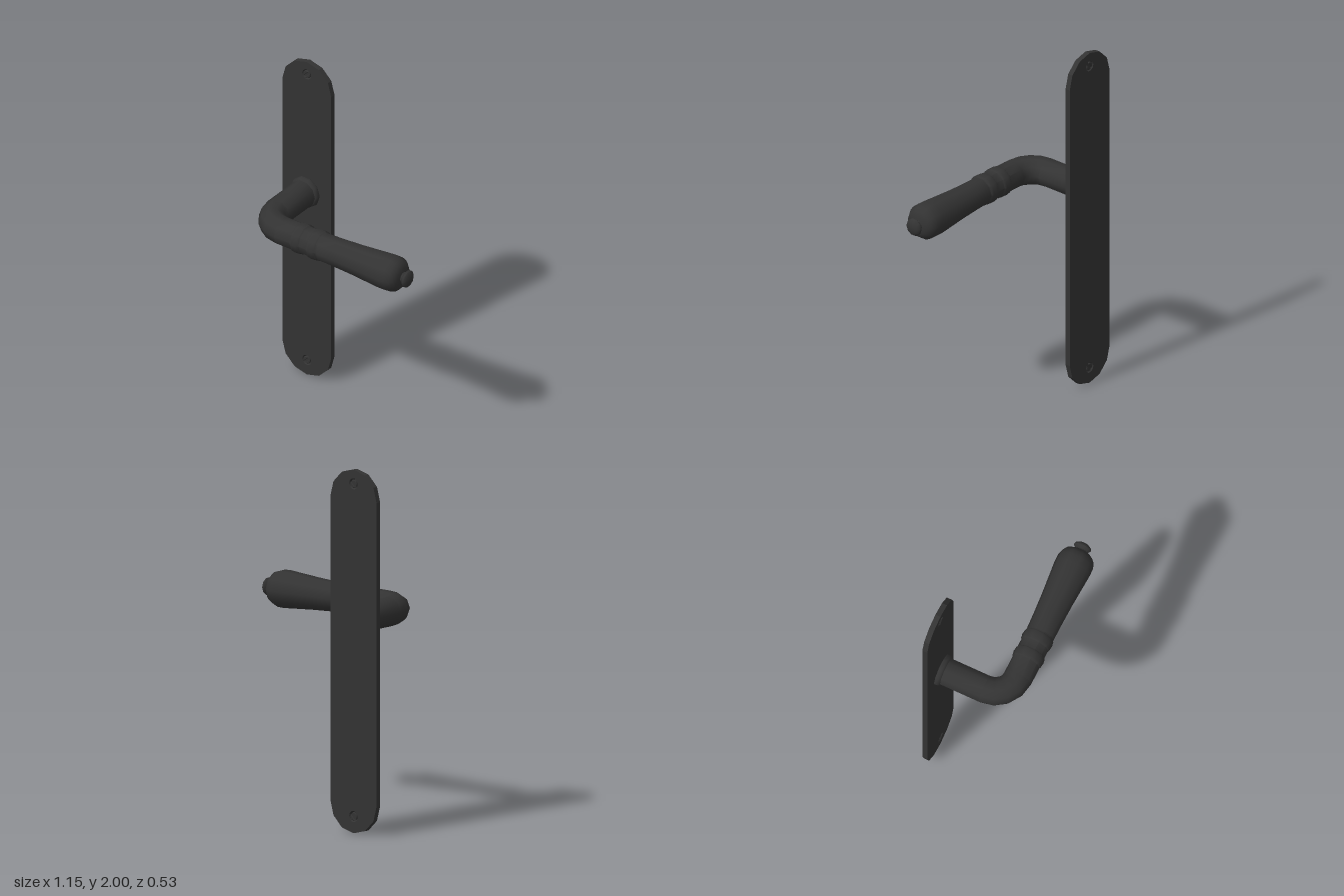
import * as THREE from 'three';
import { toCreasedNormals } from 'three/addons/utils/BufferGeometryUtils.js';

const SIDES = 10;
const PLATE_X = -0.411, LEVER_Y = 1.176, LEVER_Z = 0.1645;
const PLATE_BACK = -0.265, PLATE_FRONT = -0.235, PLATE_MID = -0.25;

export function createModel() {
  const group = new THREE.Group();
  const metal = new THREE.MeshStandardMaterial({ color: 0x333333 });

  const add = (name, geometry, parent = group) => {
    const mesh = new THREE.Mesh(geometry, metal);
    mesh.name = name;
    parent.add(mesh);
    return mesh;
  };
  // Turned part: profile is [radius, distance along the axis]
  const turned = (profile, phi = 0) => toCreasedNormals(
    new THREE.LatheGeometry(profile.map(([r, d]) => new THREE.Vector2(r, d)), SIDES, phi), 0.75);

  // Backplate with half-round, six-sided ends and two screw holes
  const R = 0.164, endY = 1 - R;
  const outline = [];
  for (const [cy, start] of [[endY, 0], [-endY, Math.PI]]) {
    for (let i = 0; i <= 6; i++) {
      const a = start + i * Math.PI / 6;
      outline.push(new THREE.Vector2(R * Math.cos(a), cy + R * Math.sin(a)));
    }
  }
  const plateShape = new THREE.Shape(outline);
  const screwY = [0.921, -0.908];
  for (const y of screwY) {
    const hole = new THREE.Path();
    hole.absarc(0, y, 0.031, 0, Math.PI * 2, true);
    plateShape.holes.push(hole);
  }
  const plate = add('backplate', new THREE.ExtrudeGeometry(plateShape,
    { depth: PLATE_FRONT - PLATE_BACK, bevelEnabled: false, curveSegments: 5 }));
  plate.position.set(PLATE_X, 1, PLATE_BACK);

  // Slotted screws in countersunk seats: a core carrying two half heads
  const halfShape = new THREE.Shape();
  halfShape.absarc(0, 0, 0.023, 0.28, Math.PI - 0.28, false);
  for (const y of screwY) {
    const screw = new THREE.Group();
    screw.name = 'screw';
    screw.position.set(PLATE_X, 1 + y, PLATE_MID);
    add('screwSeat', turned([[0.031, 0.015], [0.022, 0.004], [0.022, -0.004], [0.031, -0.015]],
      Math.PI / 2).rotateX(Math.PI / 2), screw);
    add('screwCore', new THREE.CylinderGeometry(0.0225, 0.0225, 0.018, SIDES).rotateX(Math.PI / 2), screw);
    for (const turn of [0, Math.PI]) {
      const half = new THREE.ExtrudeGeometry(halfShape, {
        depth: 0.026, curveSegments: 5, bevelSegments: 1,
        bevelThickness: 0.003, bevelSize: 0.003, bevelOffset: -0.003,
      });
      add('screwHeadHalf', half.translate(0, 0, -0.012).rotateZ(turn + Math.PI / 4), screw);
    }
    group.add(screw);
  }

  // Collar and neck, pointing forward from the plate
  const neck = add('collarAndNeck', turned([
    [0, -0.231], [0.09, -0.231], [0.093, -0.226], [0.091, -0.212], [0.086, -0.204],
    [0.08, -0.2], [0.08, 0.032],
  ], Math.PI / 2).rotateX(Math.PI / 2));
  neck.position.set(PLATE_X, LEVER_Y, 0);

  // Quarter bend from the neck into the lever
  const bendRadius = LEVER_Z - 0.032;
  const bend = add('bend', new THREE.TorusGeometry(bendRadius, 0.08, SIDES, 4, Math.PI / 2)
    .rotateX(Math.PI / 2).rotateY(-Math.PI / 2));
  bend.position.set(PLATE_X + bendRadius, LEVER_Y, 0.032);

  // Straight shank with two softly rounded rings
  const ring = (x) => [[0.08, x - 0.031], [0.085, x - 0.025], [0.0855, x - 0.014],
    [0.0885, x], [0.0855, x + 0.014], [0.085, x + 0.024], [0.08, x + 0.03]];
  const shank = add('shankWithRings', turned([
    [0.08, PLATE_X + bendRadius], ...ring(-0.144), ...ring(-0.036), [0.08, 0.005],
  ]).rotateZ(-Math.PI / 2));
  shank.position.set(0, LEVER_Y, LEVER_Z);

  // Swelling grip ending in a lens-shaped knob, tilted very slightly back
  const grip = add('gripWithKnob', turned([
    [0.08, 0], [0.083, 0.1], [0.089, 0.22], [0.098, 0.34], [0.104, 0.42], [0.103, 0.462],
    [0.094, 0.49], [0.078, 0.51], [0.055, 0.521], [0.032, 0.525], [0.029, 0.534],
    [0.044, 0.541], [0.051, 0.549], [0.048, 0.559], [0.032, 0.569], [0, 0.572],
  ]).rotateZ(-Math.PI / 2));
  grip.position.set(0, LEVER_Y, LEVER_Z);
  grip.rotation.y = 0.018;

  return group;
}
